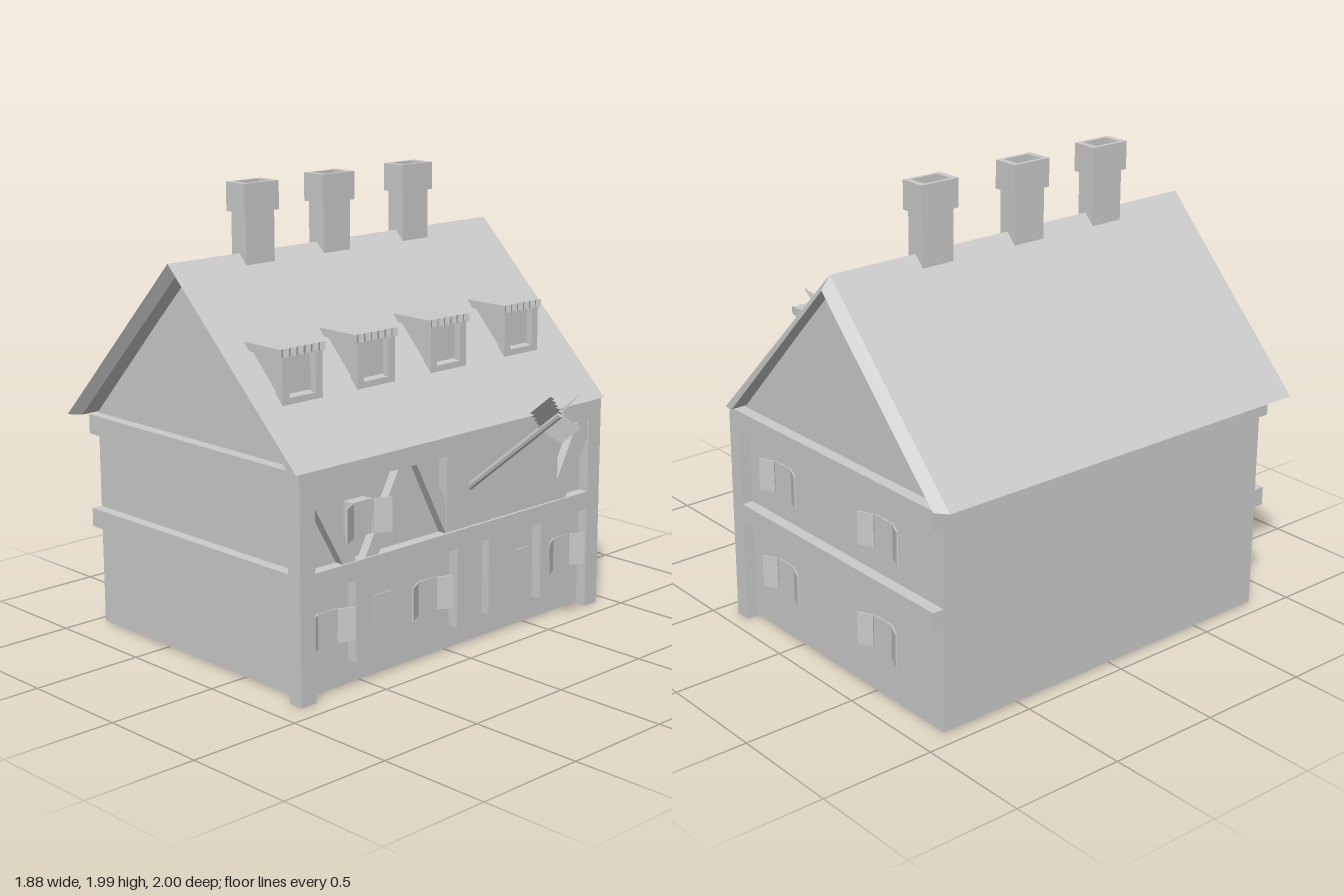
import * as THREE from 'three';

const mat = new THREE.MeshStandardMaterial({ color: 0xcccccc, flatShading: true });
const thinMat = new THREE.MeshStandardMaterial({ color: 0xcccccc, flatShading: true, side: THREE.DoubleSide });

export function createModel() {
  const root = new THREE.Group();
  root.name = 'timberFramedHouse';

  const add = (name, geo, parent = root, material = mat) => {
    const mesh = new THREE.Mesh(geo, material);
    mesh.name = name;
    parent.add(mesh);
    return mesh;
  };
  const group = (name, x = 0, y = 0, z = 0) => {
    const g = new THREE.Group();
    g.name = name;
    g.position.set(x, y, z);
    root.add(g);
    return g;
  };
  // Box given by its limits on each axis
  const box = (name, x0, x1, y0, y1, z0, z1, parent = root) => {
    const geo = new THREE.BoxGeometry(x1 - x0, y1 - y0, z1 - z0);
    geo.translate((x0 + x1) / 2, (y0 + y1) / 2, (z0 + z1) / 2);
    return add(name, geo, parent);
  };
  const shape = (pts) => new THREE.Shape(pts.map(([x, y]) => new THREE.Vector2(x, y)));
  const extrude = (s, depth) => new THREE.ExtrudeGeometry(s, { depth, bevelEnabled: false });
  // Extrusion whose outline is (z, y) and which runs along x from x0 to x1
  const extrudeX = (pts, x0, x1) =>
    extrude(shape(pts.map(([z, y]) => [-z, y])), x1 - x0).rotateY(Math.PI / 2).translate(x0, 0, 0);

  // Walls with both gables
  const wallX = [-0.83, 0.88], wallZ = 0.36;
  add('walls', extrudeX([[wallZ, 0.01], [wallZ, 0.965], [-0.285, 1.65], [-0.935, 0.965], [-0.935, 0.01]], ...wallX));

  // Roof: a slab with skewed ends, closed from two six-point end loops
  const profile = [ // z, y, left x, right x
    [0.42, 0.96, -0.905, 0.94], [-0.285, 1.7, -0.945, 0.9], [-1, 0.96, -0.945, 0.9],
    [-0.95, 0.96, -0.905, 0.94], [-0.285, 1.645, -0.905, 0.94], [0.375, 0.96, -0.905, 0.94],
  ];
  const L = profile.map(([z, y, l]) => [l, y, z]);
  const R = profile.map(([z, y, , r]) => [r, y, z]);
  const verts = [];
  const quad = (a, b, c, d) => verts.push(...a, ...b, ...c, ...a, ...c, ...d);
  for (let i = 0; i < 6; i++) {
    const j = (i + 1) % 6;
    quad(L[i], R[i], R[j], L[j]);
  }
  for (const [a, b, c, d] of [[0, 1, 4, 5], [1, 2, 3, 4]]) {
    quad(L[a], L[b], L[c], L[d]);
    quad(R[a], R[d], R[c], R[b]);
  }
  const roofGeo = new THREE.BufferGeometry();
  roofGeo.setAttribute('position', new THREE.Float32BufferAttribute(verts, 3));
  roofGeo.computeVertexNormals();
  add('roof', roofGeo);

  // Corner posts and the beams on the front and both sides
  const frame = group('timberFrame');
  for (const [x0, x1] of [[-0.88, -0.8], [0.85, 0.93]]) box('cornerPost', x0, x1, 0, 0.96, 0.34, 0.41, frame);
  for (const [y0, y1] of [[0.46, 0.54], [0.875, 0.96]]) {
    box('frontBeam', -0.8, 0.85, y0, y1, 0.35, 0.41, frame);
    box('rightBeam', -0.88, -0.82, y0, y1, -0.935, 0.34, frame);
    box('leftBeam', 0.87, 0.93, y0, y1, -0.935, 0.34, frame);
  }
  for (const [x0, x1] of [[-0.58, -0.525], [0.01, 0.07], [0.54, 0.6]]) {
    box('stud', x0, x1, 0.11, 0.46, 0.35, 0.41, frame);
  }
  // Slanted braces of the upper floor
  const lo = 0.54, hi = 0.875;
  for (const pts of [
    [[-0.8, hi], [-0.8, 0.815], [-0.645, lo], [-0.57, lo], [-0.755, hi]],
    [[-0.33, hi], [-0.52, lo], [-0.445, lo], [-0.26, hi]],
    [[-0.23, hi], [-0.055, lo], [-0.055, 0.68], [-0.16, hi]],
    [[0.785, hi], [0.645, 0.62], [0.645, lo], [0.71, lo], [0.85, 0.79], [0.85, hi]],
  ]) add('brace', extrude(shape(pts), 0.045).translate(0, 0, 0.355), frame);

  box('frontBoard', -0.055, 0.645, 0.545, 0.875, 0.35, 0.407);
  box('door', 0.215, 0.385, 0.115, 0.46, 0.35, 0.4);

  // Window: a pane facing +z, with an open shutter on either side when asked for
  const windowAt = (w, h, shutters, x, y, z, turn = 0, reach = 0.065, out = 0.035) => {
    const g = group('window', x, y, z);
    g.rotation.y = turn;
    box('pane', -w / 2, w / 2, -h / 2, h / 2, -0.01, 0.005, g);
    if (!shutters) return;
    for (const s of [-1, 1]) {
      const shutter = add('shutter', new THREE.BoxGeometry(Math.hypot(reach, out), h, 0.006), g);
      shutter.position.set(s * (w / 2 + reach / 2), 0, 0.008 + out / 2);
      shutter.rotation.y = -s * Math.atan2(out, reach);
    }
  };
  for (const x of [-0.7, -0.13, 0.725]) windowAt(0.11, 0.145, true, x, 0.275, wallZ);
  for (const x of [-0.38, 0.467]) windowAt(0.108, 0.15, false, x, 0.275, wallZ);
  box('windowCasing', -0.6, -0.495, 0.645, 0.785, 0.35, 0.405);
  windowAt(0.11, 0.145, true, -0.548, 0.715, 0.41, 0, 0.07, 0.037);
  for (const [z, y] of [[0.093, 0.717], [-0.58, 0.717], [0.093, 0.275], [-0.565, 0.275]]) {
    windowAt(0.12, 0.14, true, wallX[1], y, z, Math.PI / 2, 0.065, 0.03);
  }

  // Dormers: wedge body, framed recessed pane and flat roof with a ragged front edge
  for (const x of [-0.678, -0.273, 0.153, 0.612]) {
    const g = group('dormer', x);
    add('dormerBody', extrudeX([[0.18, 1.175], [0.18, 1.375], [-0.03, 1.375], [0.13, 1.175]], -0.1, 0.1), g);
    const front = shape([[-0.107, 1.175], [0.107, 1.175], [0.107, 1.375], [-0.107, 1.375]]);
    front.holes.push(shape([[-0.07, 1.205], [-0.07, 1.37], [0.07, 1.37], [0.07, 1.205]]));
    add('dormerFrame', extrude(front, 0.04).translate(0, 0, 0.172), g);
    const edge = [[-0.117, -0.01], [0.117, -0.01]];
    for (let i = 0; i <= 12; i++) edge.push([0.117 - i * 0.0195, i % 2 ? 0.208 : 0.22]);
    add('dormerRoof', extrude(shape(edge), 0.034).rotateX(Math.PI / 2).translate(0, 1.405, 0), g);
  }

  // Chimneys: stack with a hollow cap
  const rect = (w, d) => shape([[-w / 2, -d / 2], [w / 2, -d / 2], [w / 2, d / 2], [-w / 2, d / 2]]);
  for (const x of [-0.493, -0.063, 0.41]) {
    const g = group('chimney', x, 0, -0.287);
    box('chimneyStack', -0.077, 0.077, 1.63, 1.885, -0.045, 0.045, g);
    const cap = rect(0.185, 0.115);
    cap.holes.push(rect(0.13, 0.082));
    add('chimneyCap', extrude(cap, 0.12).rotateX(-Math.PI / 2).translate(0, 1.87, 0), g);
  }

  // Arrow stuck in the front board; its local +y runs from the point to the feathers
  const arrow = group('arrow', 0.09, 0.72, 0.405);
  arrow.rotation.x = Math.atan2(0.777, 0.63);
  add('arrowShaft', new THREE.CylinderGeometry(0.016, 0.016, 0.64, 8).translate(0, 0.305, 0), arrow);
  const feather = [[0, 0.62], [0, 0.5]];
  for (let i = 0; i < 5; i++) { // stepped leading edge
    feather.push([0.02 * (i + 1), 0.5 + 0.014 * i], [0.02 * (i + 1), 0.5 + 0.014 * (i + 1)]);
  }
  for (let i = 5; i > 0; i--) { // notched trailing edge
    feather.push([0.02 * i, 0.62 + 0.014 * i], [0.02 * (i - 1), 0.62 + 0.014 * i]);
  }
  for (const deg of [-96, 24, 144]) {
    const f = add('feather', new THREE.ShapeGeometry(shape(feather)), arrow, thinMat);
    f.rotation.y = THREE.MathUtils.degToRad(deg);
  }
  return root;
}
